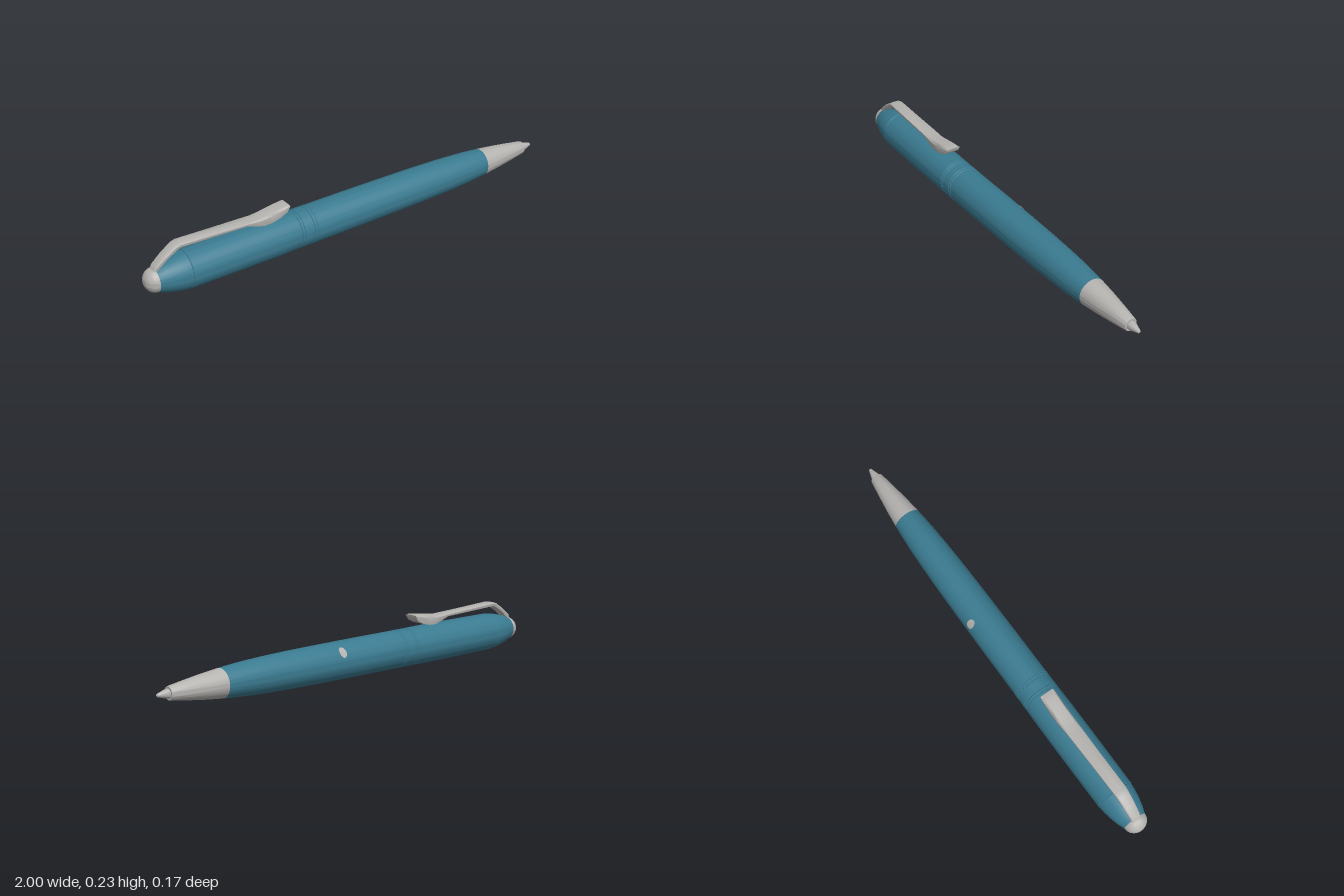
import * as THREE from 'three';
import { toCreasedNormals } from 'three/addons/utils/BufferGeometryUtils.js';

const AXIS_Y = 0.085;
const teal = new THREE.MeshStandardMaterial({ color: 0x3a7a90 });
teal.name = 'teal lacquer';
const silver = new THREE.MeshStandardMaterial({ color: 0xb5b3b0 });
silver.name = 'silver metal';

// Turned part along the pen's long axis; points are [x, radius]
function turned(name, points, material) {
  const profile = points.map(([x, r]) => new THREE.Vector2(r, x));
  const geometry = new THREE.LatheGeometry(profile, 64).rotateZ(-Math.PI / 2);
  const mesh = new THREE.Mesh(toCreasedNormals(geometry, 0.45), material);
  mesh.name = name;
  mesh.position.y = AXIS_Y;
  return mesh;
}

// Clip lofted through stations: [top x, top y, bottom x, bottom y, half width]
function clipGeometry() {
  const stations = [
    [-0.965, 0.130, -0.945, 0.120, 0.020],
    [-0.955, 0.150, -0.940, 0.137, 0.022],
    [-0.910, 0.186, -0.900, 0.171, 0.025],
    [-0.862, 0.217, -0.852, 0.201, 0.027],
    [-0.840, 0.222, -0.838, 0.205, 0.028],
    [-0.680, 0.215, -0.680, 0.200, 0.029],
    [-0.540, 0.209, -0.540, 0.196, 0.031],
    [-0.500, 0.209, -0.500, 0.183, 0.032],
    [-0.460, 0.213, -0.460, 0.171, 0.033],
    [-0.420, 0.220, -0.420, 0.173, 0.033],
    [-0.380, 0.225, -0.380, 0.183, 0.033],
    [-0.350, 0.227, -0.350, 0.198, 0.033],
    [-0.336, 0.225, -0.338, 0.214, 0.032],
  ];
  const section = [[-0.95, 0], [0.95, 0], [1, 0.2], [1, 0.7], [0.8, 0.92], [0, 1], [-0.8, 0.92], [-1, 0.7], [-1, 0.2]];
  const n = section.length;
  const positions = [];
  const index = [];
  for (const [tx, ty, bx, by, w] of stations) {
    for (const [u, v] of section) positions.push(bx + (tx - bx) * v, by + (ty - by) * v, u * w);
  }
  for (let s = 0; s < stations.length - 1; s++) {
    for (let i = 0; i < n; i++) {
      const a = s * n + i;
      const b = s * n + (i + 1) % n;
      index.push(a, a + n, b, b, a + n, b + n);
    }
  }
  const last = (stations.length - 1) * n;
  for (let k = 1; k < n - 1; k++) {
    index.push(0, k, k + 1, last, last + k + 1, last + k);
  }
  const geometry = new THREE.BufferGeometry();
  geometry.setAttribute('position', new THREE.Float32BufferAttribute(positions, 3));
  geometry.setIndex(index);
  return toCreasedNormals(geometry, 0.6);
}

// Small spot wrapped around the barrel
function spotGeometry(radius) {
  const geometry = new THREE.CircleGeometry(0.02, 20);
  const p = geometry.attributes.position;
  for (let i = 0; i < p.count; i++) {
    const angle = 0.93 + p.getY(i) * 1.25 / radius;
    p.setXYZ(i, 0.118 + p.getX(i) * 0.9, Math.cos(angle) * radius, -Math.sin(angle) * radius);
  }
  geometry.computeVertexNormals();
  return geometry;
}

export function createModel() {
  const pen = new THREE.Group();
  pen.name = 'pen';

  // Rounded silver button at the rear
  const dome = [];
  for (let i = 0; i <= 10; i++) {
    const t = (i / 10) * Math.PI / 2;
    dome.push([-0.952 - 0.048 * Math.cos(t), 0.052 * Math.sin(t)]);
  }
  pen.add(turned('endButton', dome, silver));

  // Cap, with a fine seam where its shoulder begins
  pen.add(turned('capShoulder', [
    [-0.952, 0], [-0.952, 0.052], [-0.92, 0.064], [-0.88, 0.074], [-0.85, 0.079], [-0.821, 0.082], [-0.819, 0.080],
  ], teal));
  pen.add(turned('capBody', [
    [-0.819, 0.080], [-0.817, 0.083], [-0.6, 0.0845], [-0.4, 0.0845], [-0.311, 0.083], [-0.309, 0.080],
  ], teal));

  // Middle bands separated by narrow grooves
  for (const [x0, x1] of [[-0.309, -0.295], [-0.295, -0.247], [-0.247, -0.232]]) {
    pen.add(turned('middleBand', [
      [x0, 0.080], [x0 + 0.002, 0.083], [x1 - 0.002, 0.083], [x1, 0.080],
    ], teal));
  }

  // Long tapering barrel
  pen.add(turned('barrel', [
    [-0.232, 0.080], [-0.23, 0.0825], [0, 0.082], [0.2, 0.0805], [0.35, 0.0785],
    [0.48, 0.075], [0.58, 0.0705], [0.65, 0.0655], [0.698, 0.061],
  ], teal));

  // Writing end
  pen.add(turned('noseCone', [
    [0.698, 0.061], [0.78, 0.052], [0.86, 0.041], [0.94, 0.029], [0.945, 0.027], [0.945, 0.017], [0.94, 0],
  ], silver));
  pen.add(turned('writingTip', [
    [0.94, 0.019], [0.955, 0.019], [0.985, 0.010], [0.995, 0.007], [1, 0],
  ], silver));

  // Pocket clip
  const clip = new THREE.Mesh(clipGeometry(), silver);
  clip.name = 'pocketClip';
  pen.add(clip);

  // Silver spot on the rear side of the barrel
  const spot = new THREE.Mesh(spotGeometry(0.0826), silver);
  spot.name = 'barrelSpot';
  spot.position.y = AXIS_Y;
  pen.add(spot);

  return pen;
}
